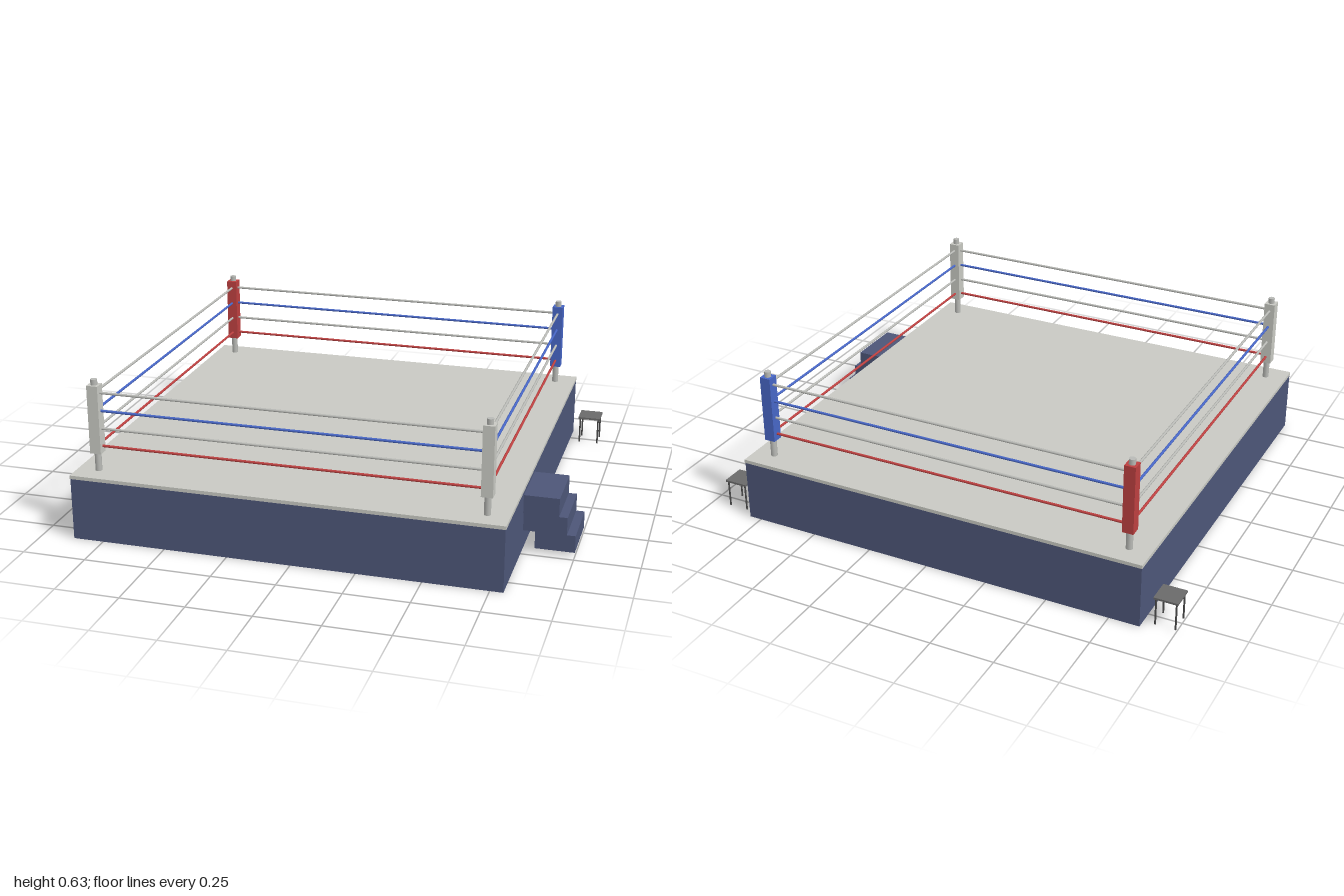
import * as THREE from 'three';

const mat = (name, color, flatShading = false) => {
  const m = new THREE.MeshStandardMaterial({ color, flatShading });
  m.name = name;
  return m;
};

export function createModel() {
  const navy = mat('navy skirt', 0x4d5678);
  const canvas = mat('canvas grey', 0xc8c9c3);
  const steel = mat('post steel', 0xb9bab6);
  const red = mat('corner red', 0xbd4040);
  const blue = mat('corner blue', 0x4766c6);
  const seatGrey = mat('stool grey', 0x6a6a6a);
  const legGrey = mat('stool leg grey', 0x4a4a4a);
  const root = new THREE.Group();
  root.name = 'boxingRing';

  // Box given by its minimum and maximum corners
  const box = (name, material, [x0, y0, z0], [x1, y1, z1], parent = root) => {
    const mesh = new THREE.Mesh(new THREE.BoxGeometry(x1 - x0, y1 - y0, z1 - z0), material);
    mesh.position.set((x0 + x1) / 2, (y0 + y1) / 2, (z0 + z1) / 2);
    mesh.name = name;
    parent.add(mesh);
    return mesh;
  };
  // Round bar between two points
  const bar = (name, material, a, b, radius, parent = root) => {
    const from = new THREE.Vector3(...a), to = new THREE.Vector3(...b);
    const dir = to.clone().sub(from);
    const mesh = new THREE.Mesh(new THREE.CylinderGeometry(radius, radius, dir.length(), 12), material);
    mesh.position.copy(from).add(to).multiplyScalar(0.5);
    mesh.quaternion.setFromUnitVectors(new THREE.Vector3(0, 1, 0), dir.normalize());
    mesh.name = name;
    parent.add(mesh);
  };

  // Platform and canvas floor
  box('platform', navy, [-0.87, 0, -0.835], [0.8, 0.246, 0.835]);
  box('canvasFloor', canvas, [-0.872, 0.246, -0.837], [0.802, 0.26, 0.837]);

  // Corner posts with square pads, in order around the ring
  const corners = [
    [-0.788, -0.754, red], [0.718, -0.754, blue],
    [0.718, 0.754, canvas], [-0.788, 0.754, canvas],
  ];
  for (const [x, z, padColor] of corners) {
    bar('cornerPost', steel, [x, 0.26, z], [x, 0.627, z], 0.013);
    box('cornerPad', padColor, [x - 0.022, 0.334, z - 0.022], [x + 0.022, 0.605, z + 0.022]);
  }

  // Four ropes on each side
  const ropes = [[0.361, red], [0.431, steel], [0.502, blue], [0.574, steel]];
  corners.forEach(([x, z], i) => {
    const [nx, nz] = corners[(i + 1) % 4];
    for (const [y, color] of ropes) bar('rope', color, [x, y, z], [nx, y, nz], 0.005);
  });

  // Entry steps on the left side of the ring
  const steps = new THREE.Group();
  steps.name = 'steps';
  root.add(steps);
  const treads = [[0.8, 0.935, 0.155, 0.228], [0.802, 0.967, 0.085, 0.155], [0.848, 1, 0.017, 0.085]];
  for (const [x0, x1, y0, y1] of treads) box('step', navy, [x0, y0, 0.235], [x1, y1, 0.472], steps);

  // Corner stools beside the two back corners
  for (const cx of [-0.953, 0.883]) {
    const stool = new THREE.Group();
    stool.name = 'stool';
    stool.position.set(cx, 0, -0.757);
    root.add(stool);
    box('stoolSeat', seatGrey, [-0.047, 0.109, -0.047], [0.047, 0.117, 0.047], stool);
    for (const sx of [-1, 1]) for (const sz of [-1, 1]) {
      bar('stoolLeg', legGrey, [sx * 0.039, 0, sz * 0.039], [sx * 0.039, 0.11, sz * 0.039], 0.0035, stool);
    }
  }
  return root;
}
